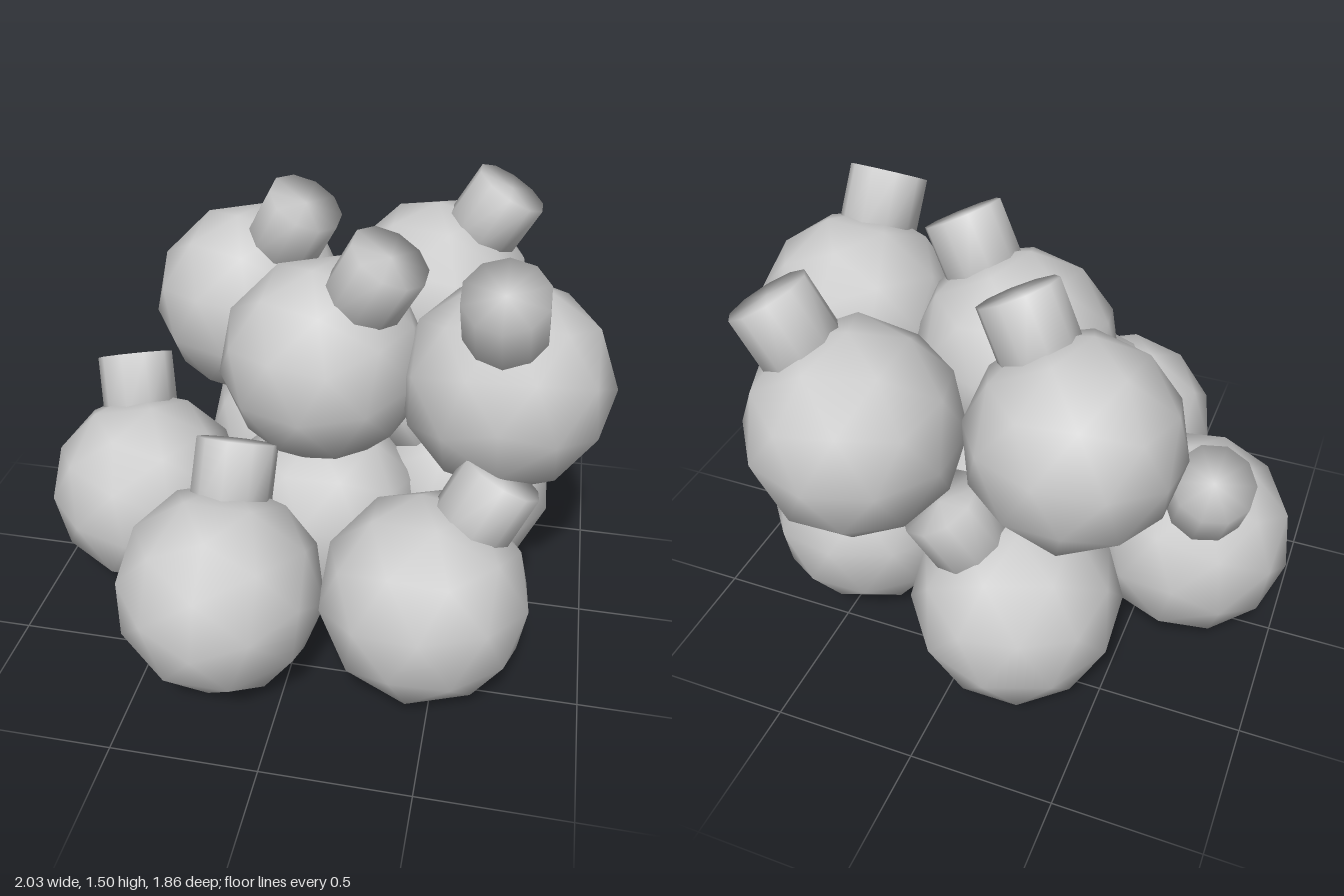
import * as THREE from 'three';
import { mergeVertices } from 'three/addons/utils/BufferGeometryUtils.js';

const RADIUS = 0.363;
const STEM_RADIUS = 0.14;
const STEM_TIP = 0.505; // distance of the stem's cap from the ball centre

// Welds a geometry so that its shading runs smoothly over every edge
function smooth(geometry) {
  geometry.deleteAttribute('normal');
  geometry.deleteAttribute('uv');
  const welded = mergeVertices(geometry, 1e-4);
  welded.computeVertexNormals();
  return welded;
}

// One entry per ball: centre x, y, z, then the sideways lean of its stem (x, z)
const LOWER = [
  [-0.66, 0.37, 0.03, -0.10, -0.23],
  [-0.23, 0.37, 0.56, 0.01, -0.25],
  [0.45, 0.37, 0.46, 0.22, -0.12],
  [0.49, 0.37, -0.26, -0.24, 0.08],
  [-0.19, 0.37, -0.51, 0.22, -0.10],
  [0.02, 0.37, 0.0, -0.20, -0.15],
];
const UPPER = [
  [-0.34, 1.0, -0.39, 0.23, 0.10],
  [0.34, 1.0, -0.57, 0.25, -0.01],
  [0.02, 1.0, 0.03, 0.23, 0.09],
  [0.65, 1.0, 0.07, -0.02, 0.25],
];

export function createModel() {
  const model = new THREE.Group();
  model.name = 'ballPile';
  const material = new THREE.MeshStandardMaterial({ color: 0xcccccc });

  const ballGeometry = smooth(new THREE.IcosahedronGeometry(RADIUS, 1));
  const stemLength = 0.24;
  const stemGeometry = smooth(new THREE.CylinderGeometry(STEM_RADIUS, STEM_RADIUS, stemLength, 10));
  stemGeometry.translate(0, STEM_TIP - stemLength / 2, 0);

  const up = new THREE.Vector3(0, 1, 0);
  const addLayer = (name, entries) => {
    const layer = new THREE.Group();
    layer.name = name;
    entries.forEach(([x, y, z, leanX, leanZ], i) => {
      // Each ball is turned so that its stem leans the given way
      const unit = new THREE.Group();
      unit.name = `${name}Ball${i + 1}`;
      unit.position.set(x, y, z);
      unit.quaternion.setFromUnitVectors(up, new THREE.Vector3(leanX, 0.43, leanZ).normalize());
      const ball = new THREE.Mesh(ballGeometry, material);
      ball.name = 'ball';
      const stem = new THREE.Mesh(stemGeometry, material);
      stem.name = 'stem';
      unit.add(ball, stem);
      layer.add(unit);
    });
    model.add(layer);
  };
  addLayer('lowerLayer', LOWER);
  addLayer('upperLayer', UPPER);
  return model;
}
